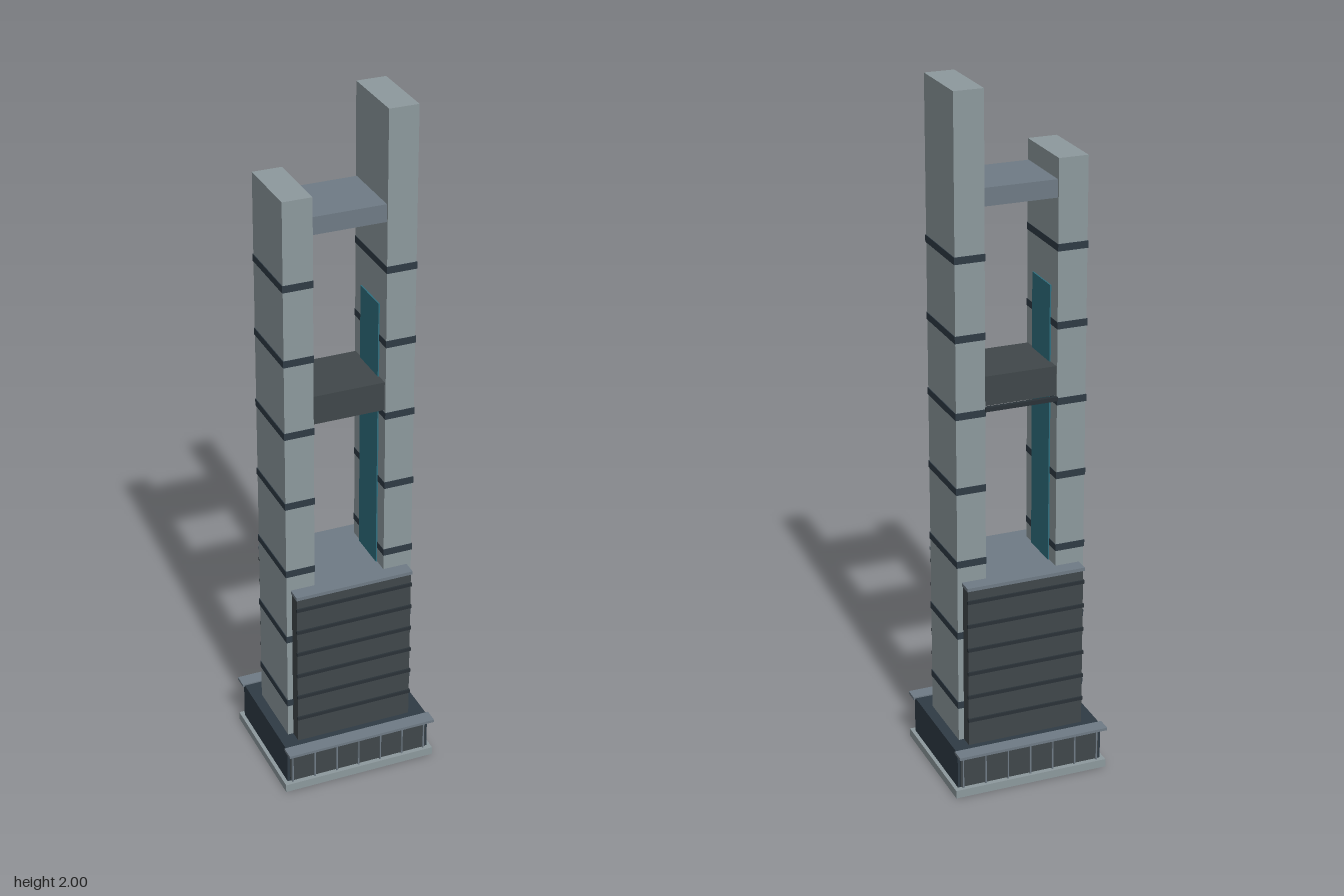
import * as THREE from 'three';

const mat = (color) => new THREE.MeshStandardMaterial({ color });

export function createModel() {
  const model = new THREE.Group();
  const stone = mat(0x8d999d), slate = mat(0x6f7b85), navy = mat(0x2f3b45);
  const charcoal = mat(0x40474a), trim = mat(0x2a3238), glass = mat(0x2f6f7f);

  // Box given by its lower and upper limits on each axis
  const box = (parent, name, material, [x0, x1], [y0, y1], [z0, z1]) => {
    const mesh = new THREE.Mesh(new THREE.BoxGeometry(x1 - x0, y1 - y0, z1 - z0), material);
    mesh.position.set((x0 + x1) / 2, (y0 + y1) / 2, (z0 + z1) / 2);
    mesh.name = name;
    parent.add(mesh);
    return mesh;
  };
  const group = (name) => {
    const g = new THREE.Group();
    g.name = name;
    model.add(g);
    return g;
  };
  const sym = (a) => [-a, a];
  const span = (side, a, b) => (side > 0 ? [a, b] : [-b, -a]);

  // Base slab and podium
  const podium = group('podium');
  box(podium, 'baseSlab', stone, sym(0.229), [0, 0.024], sym(0.188));
  box(podium, 'podiumBody', navy, sym(0.218), [0.024, 0.134], sym(0.172));
  for (const side of [1, -1]) {
    box(podium, 'shopfront', charcoal, sym(0.21), [0.026, 0.128], span(side, 0.17, 0.176));
    box(podium, 'canopy', slate, sym(0.224), [0.13, 0.138], span(side, 0.165, 0.207));
    for (let i = 0; i < 7; i++) {
      const x = -0.204 + i * 0.068;
      box(podium, 'mullion', slate, [x - 0.002, x + 0.002], [0.024, 0.13], span(side, 0.174, 0.18));
    }
  }

  // Middle block with horizontal louvres front and back
  const block = group('middleBlock');
  box(block, 'blockBody', charcoal, sym(0.172), [0.134, 0.615], sym(0.141));
  box(block, 'blockRoof', slate, sym(0.175), [0.615, 0.625], sym(0.146));
  for (const side of [1, -1]) {
    for (let i = 0; i < 6; i++) {
      const y = 0.213 + i * 0.0735;
      box(block, 'louvre', trim, sym(0.174), [y - 0.005, y + 0.005], span(side, 0.138, 0.146));
    }
  }

  // Twin towers of unequal height, with floor bands and inner glazing
  for (const [side, top, name] of [[1, 2, 'leftTower'], [-1, 1.795, 'rightTower']]) {
    const tower = group(name);
    box(tower, 'shaft', stone, span(side, 0.104, 0.188), [0.134, top], sym(0.104));
    for (let i = 0; i < 7; i++) {
      const y = 0.245 + i * 0.2178;
      box(tower, 'floorBand', navy, span(side, 0.103, 0.19), [y - 0.01, y + 0.01], sym(0.106));
    }
    box(tower, 'innerGlazing', glass, span(side, 0.1, 0.105), [0.615, 1.435], sym(0.06));
  }

  // Bridges between the towers
  const bridges = group('bridges');
  box(bridges, 'upperBridge', slate, sym(0.105), [1.687, 1.737], sym(0.098));
  box(bridges, 'lowerBridge', charcoal, sym(0.105), [1.133, 1.217], sym(0.098));
  box(bridges, 'bridgeTrim', trim, sym(0.105), [1.119, 1.131], [-0.108, -0.096]);

  return model;
}
